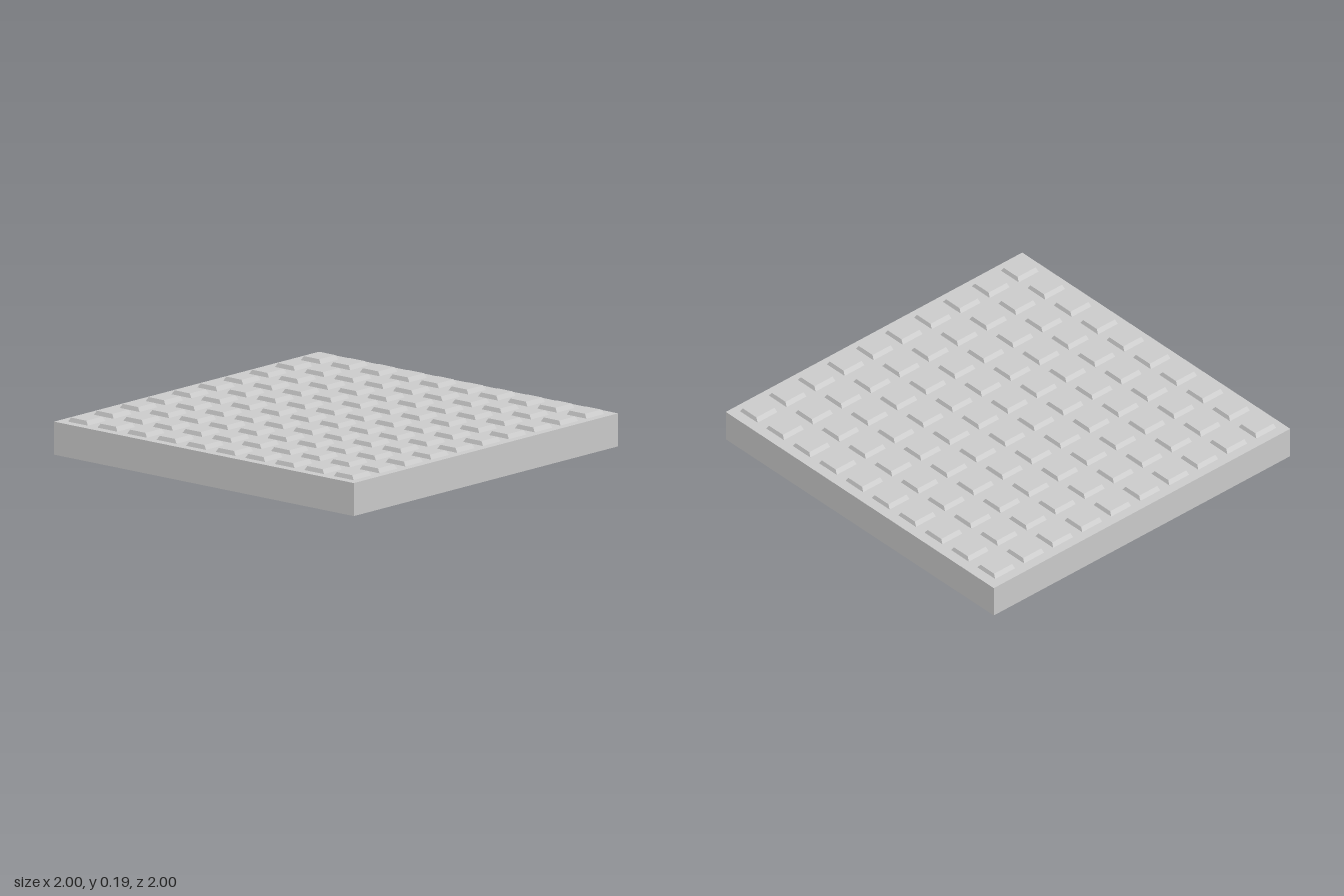
import * as THREE from 'three';

const COUNT = 10;
const BASE_HEIGHT = 0.17;
const STUD = { width: 0.132, depth: 0.134, height: 0.022, insetX: 0.015, insetZ: 0.006 };

// Box whose top face is drawn in to make sloping sides
function taperedBox({ width, depth, height, insetX, insetZ }) {
  const geometry = new THREE.BoxGeometry(width, height, depth);
  geometry.translate(0, height / 2, 0);
  const p = geometry.attributes.position;
  for (let i = 0; i < p.count; i++) {
    if (p.getY(i) < height / 2) continue;
    p.setX(i, p.getX(i) - Math.sign(p.getX(i)) * insetX);
    p.setZ(i, p.getZ(i) - Math.sign(p.getZ(i)) * insetZ);
  }
  geometry.computeVertexNormals();
  return geometry;
}

export function createModel() {
  const model = new THREE.Group();
  model.name = 'studdedTile';
  const material = new THREE.MeshStandardMaterial({ color: 0xcccccc, flatShading: true });

  // Square slab
  const base = new THREE.Mesh(new THREE.BoxGeometry(2, BASE_HEIGHT, 2), material);
  base.name = 'base';
  base.position.y = BASE_HEIGHT / 2;
  model.add(base);

  // Grid of raised studs, set slightly off centre
  const studs = new THREE.Group();
  studs.name = 'studs';
  studs.position.set(0.005, BASE_HEIGHT, 0.005);
  const studGeometry = taperedBox(STUD);
  const middle = (COUNT - 1) / 2;
  for (let row = 0; row < COUNT; row++) {
    for (let column = 0; column < COUNT; column++) {
      const stud = new THREE.Mesh(studGeometry, material);
      stud.name = 'stud';
      stud.position.set((column - middle) * 0.197, 0, (row - middle) * 0.1958);
      studs.add(stud);
    }
  }
  model.add(studs);
  return model;
}
